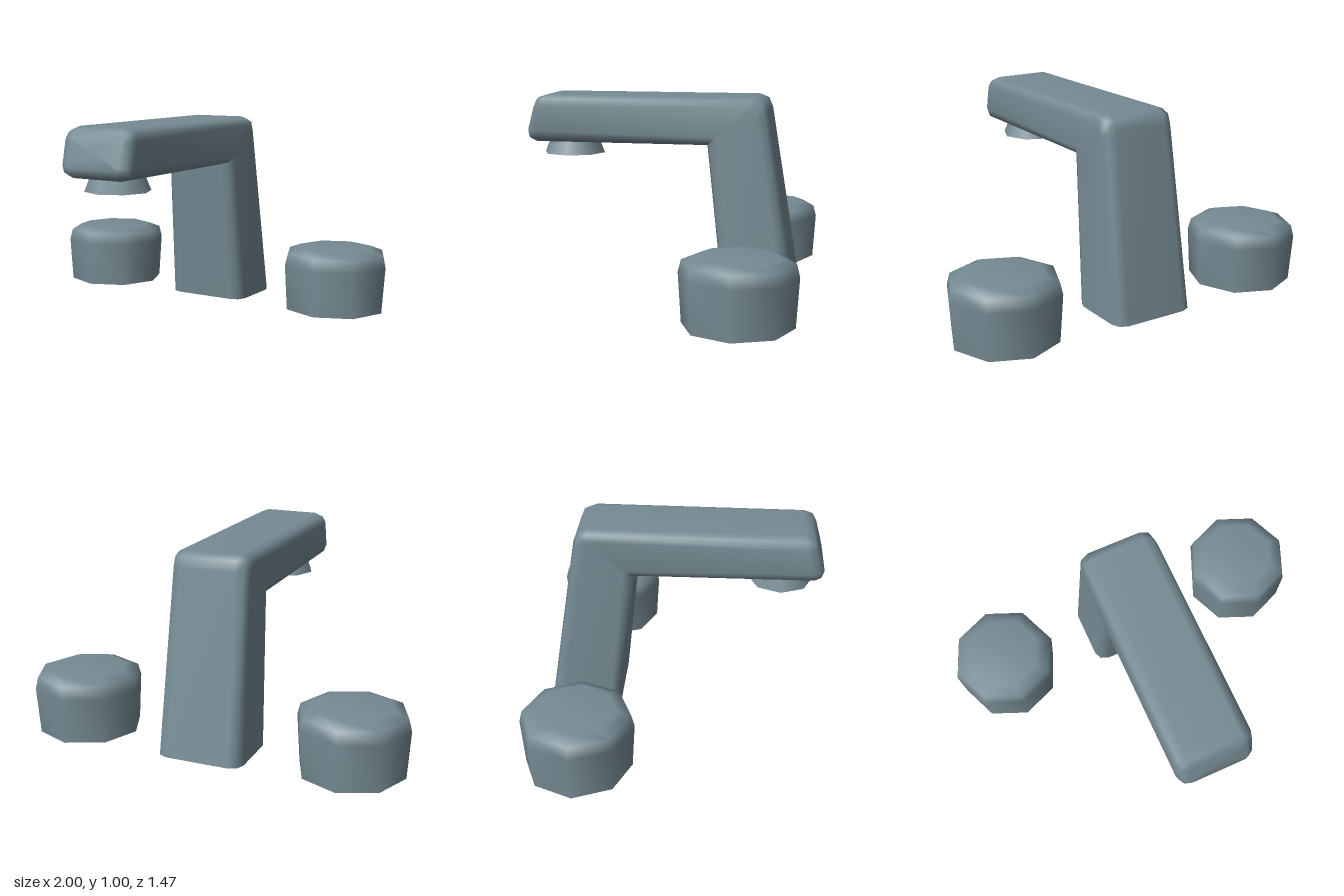
import * as THREE from 'three';
import { mergeVertices } from 'three/addons/utils/BufferGeometryUtils.js';

const metal = new THREE.MeshStandardMaterial({ color: 0x768b94 });
metal.name = 'blueGreyMetal';

function addMesh(parent, geometry, name) {
  const mesh = new THREE.Mesh(geometry, metal);
  mesh.name = name;
  parent.add(mesh);
  return mesh;
}

// Rounded rectangle between an outer and an inner point (z, y), half width w, corner radius r
function ring({ outer, inner, w, r }) {
  const o = new THREE.Vector3(0, outer[1], outer[0]);
  const i = new THREE.Vector3(0, inner[1], inner[0]);
  const centre = o.clone().add(i).multiplyScalar(0.5);
  const up = o.clone().sub(i);
  const h = up.length() / 2;
  up.normalize();
  const points = [];
  for (let c = 0; c < 4; c++) {
    const sx = c === 0 || c === 3 ? 1 : -1;
    const su = c < 2 ? 1 : -1;
    for (let k = 0; k < 3; k++) {
      const a = (c + k / 2) * Math.PI / 2;
      const p = centre.clone().addScaledVector(up, su * (h - r) + r * Math.sin(a));
      p.x = sx * (w - r) + r * Math.cos(a);
      points.push(p);
    }
  }
  return { points, centre };
}

function geometryFrom(points, index) {
  const g = new THREE.BufferGeometry().setFromPoints(points);
  g.setIndex(index);
  g.computeVertexNormals();
  return g;
}

// Sections from the foot, around the elbow, to the bevelled tip
const sections = [
  { outer: [-0.673, 0], inner: [-0.3, 0], w: 0.224, r: 0.06 },
  { outer: [-0.52, 0.93], inner: [-0.215, 0.755], w: 0.2, r: 0.06 },
  { outer: [-0.5, 0.98], inner: [-0.215, 0.755], w: 0.2, r: 0.06 },
  { outer: [-0.452, 1], inner: [-0.215, 0.755], w: 0.2, r: 0.06 },
  { outer: [0.63, 1], inner: [0.688, 0.755], w: 0.2, r: 0.06 },
  { outer: [0.675, 0.985], inner: [0.72, 0.77], w: 0.187, r: 0.047 },
  { outer: [0.697, 0.945], inner: [0.734, 0.805], w: 0.152, r: 0.015 },
];

function buildSpout() {
  const group = new THREE.Group();
  group.name = 'spout';
  const rings = sections.map(ring);
  const n = 12;
  const points = rings.flatMap((s) => s.points);
  const index = [];
  for (let i = 0; i < rings.length - 1; i++) {
    for (let j = 0; j < n; j++) {
      const a = i * n + j, b = i * n + (j + 1) % n;
      index.push(a, b, b + n, a, b + n, a + n);
    }
  }
  // Tip face
  const last = (rings.length - 1) * n;
  points.push(rings[rings.length - 1].centre);
  for (let j = 0; j < n; j++) index.push(points.length - 1, last + j, last + (j + 1) % n);
  addMesh(group, geometryFrom(points, index), 'spoutBody');

  // Flat foot
  const foot = [...rings[0].points, rings[0].centre];
  const footIndex = [];
  for (let j = 0; j < n; j++) footIndex.push(n, (j + 1) % n, j);
  addMesh(group, geometryFrom(foot, footIndex), 'spoutFoot');

  // Flared water outlet under the tip
  addMesh(group, new THREE.CylinderGeometry(0.13, 0.164, 0.085, 8), 'outlet')
    .position.set(0, 0.7275, 0.522);
  return group;
}

// Eight-sided knob with a bevelled top
function buildKnob(name, x) {
  const group = new THREE.Group();
  group.name = name;
  const profile = [[0.266, 0], [0.281, 0.24], [0.266, 0.3], [0.2, 0.325], [0, 0.325]];
  let g = new THREE.LatheGeometry(profile.map(([r, y]) => new THREE.Vector2(r, y)), 8);
  g.deleteAttribute('uv');
  g.deleteAttribute('normal');
  g = mergeVertices(g);
  g.computeVertexNormals();
  addMesh(group, g, 'knobBody');
  addMesh(group, new THREE.CircleGeometry(0.266, 8).rotateX(Math.PI / 2), 'knobBase');
  group.position.set(x, 0, -0.45);
  return group;
}

export function createModel() {
  const model = new THREE.Group();
  model.name = 'tap';
  model.add(buildSpout(), buildKnob('leftKnob', 0.718), buildKnob('rightKnob', -0.718));
  return model;
}
